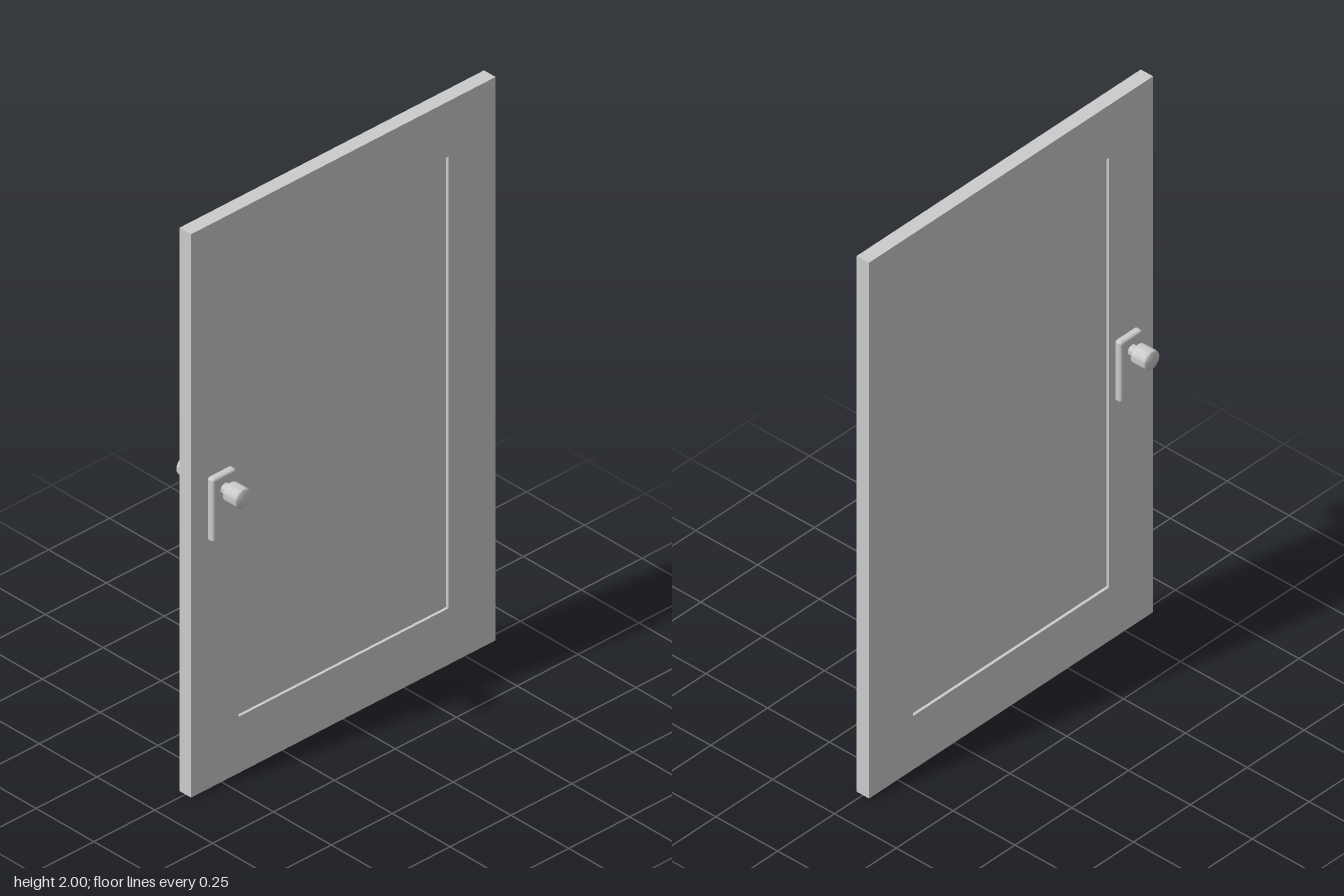
import * as THREE from 'three';
import { toCreasedNormals } from 'three/addons/utils/BufferGeometryUtils.js';
import { RoundedBoxGeometry } from 'three/addons/geometries/RoundedBoxGeometry.js';

const WIDTH = 1.25, HEIGHT = 2, THICKNESS = 0.05;
const PANEL_W = 0.862, PANEL_BOTTOM = 0.2, PANEL_TOP = 1.804, RECESS = 0.01;
const HANDLE_X = -0.507;

export function createModel() {
  const model = new THREE.Group();
  const material = new THREE.MeshStandardMaterial({ color: 0xcccccc });
  const add = (parent, name, geometry, x = 0, y = 0, z = 0) => {
    const mesh = new THREE.Mesh(geometry, material);
    mesh.name = name;
    mesh.position.set(x, y, z);
    parent.add(mesh);
    return mesh;
  };

  // Door frame with a rectangular opening
  const rectangle = (path, w, bottom, top) => path
    .moveTo(-w / 2, bottom).lineTo(w / 2, bottom)
    .lineTo(w / 2, top).lineTo(-w / 2, top).closePath();
  const outline = new THREE.Shape();
  rectangle(outline, WIDTH, 0, HEIGHT);
  const opening = new THREE.Path();
  rectangle(opening, PANEL_W, PANEL_BOTTOM, PANEL_TOP);
  outline.holes.push(opening);
  const frame = new THREE.ExtrudeGeometry(outline, { depth: THICKNESS, bevelEnabled: false });
  add(model, 'doorFrame', frame, 0, 0, -THICKNESS / 2);

  // Panel sunk a little on both faces
  const panelH = PANEL_TOP - PANEL_BOTTOM;
  add(model, 'recessedPanel', new THREE.BoxGeometry(PANEL_W, panelH, THICKNESS - 2 * RECESS),
    0, PANEL_BOTTOM + panelH / 2, 0);

  // Lock plate passing through the door
  add(model, 'lockPlate', new RoundedBoxGeometry(0.097, 0.226, 0.095, 3, 0.009), HANDLE_X, 0.993, 0);

  // Stem and knob turned as one profile, one on each face
  const profile = [
    [0.018, 0.04], [0.018, 0.071], [0.03, 0.071], [0.033, 0.073], [0.034, 0.076],
    [0.034, 0.125], [0.033, 0.128], [0.03, 0.13], [0, 0.13],
  ].map(([r, d]) => new THREE.Vector2(r, d));
  const knob = toCreasedNormals(new THREE.LatheGeometry(profile, 32), 0.7);
  for (const [name, side] of [['frontKnob', 1], ['backKnob', -1]]) {
    add(model, name, knob, HANDLE_X, 1.057, 0).rotation.x = side * Math.PI / 2;
  }

  return model;
}
